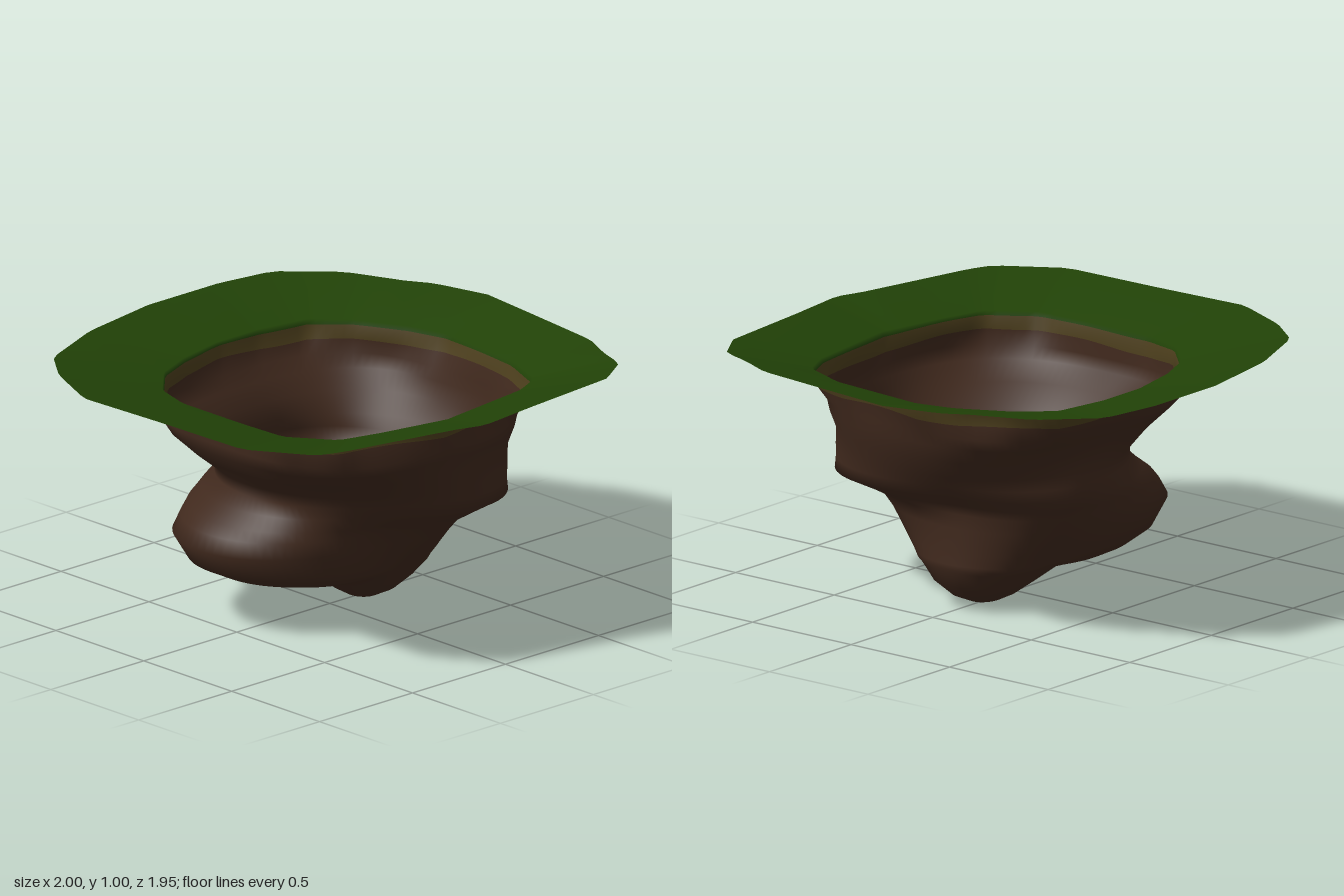
import * as THREE from 'three';

const SEGMENTS = 120;

// Ground outline and pit mouth, as (x, z) corners seen from above
const OUTER = [
  [-0.05, -0.98], [0.33, -0.98], [0.58, -0.94], [0.78, -0.74], [0.88, -0.5], [0.94, -0.4],
  [1, -0.16], [0.97, 0.1], [0.92, 0.51], [0.85, 0.66], [0.81, 0.79], [0.65, 0.89],
  [0.2, 0.935], [-0.08, 0.97], [-0.2, 0.93], [-0.43, 0.88], [-0.71, 0.82], [-0.81, 0.78],
  [-0.97, 0.53], [-0.98, 0.1], [-1, -0.34], [-0.88, -0.61], [-0.75, -0.78], [-0.43, -0.91],
];
const MOUTH = [
  [-0.02, -0.62], [0.2, -0.62], [0.43, -0.58], [0.55, -0.45], [0.66, -0.24], [0.7, -0.08],
  [0.66, 0.35], [0.58, 0.55], [0.45, 0.61], [0, 0.67], [-0.3, 0.61], [-0.48, 0.56],
  [-0.61, 0.38], [-0.62, 0.15], [-0.62, -0.18], [-0.57, -0.35], [-0.42, -0.5], [-0.25, -0.57],
];

// Cave cross-sections: y, minX, maxX, minZ, maxZ, centreX
const CAVE = [
  [0.8, -0.61, 0.65, -0.58, 0.66, 0],
  [0.75, -0.6, 0.64, -0.54, 0.63, 0.01],
  [0.68, -0.54, 0.61, -0.49, 0.58, 0.04],
  [0.6, -0.45, 0.56, -0.47, 0.53, 0.08],
  [0.55, -0.42, 0.52, -0.48, 0.51, 0.11],
  [0.5, -0.3, 0.49, -0.48, 0.5, 0.13],
  [0.45, -0.18, 0.43, -0.45, 0.48, 0.15],
  [0.41, -0.12, 0.415, -0.42, 0.47, 0.15],
  [0.35, -0.1, 0.415, -0.4, 0.44, 0.15],
  [0.25, -0.1, 0.415, -0.33, 0.35, 0.15],
  [0.2, -0.1, 0.42, -0.3, 0.3, 0.15],
  [0.18, -0.1, 0.42, -0.285, 0.285, 0.15],
  [0.165, -0.1, 0.41, -0.27, 0.27, 0.15],
  [0.1, -0.03, 0.39, -0.2, 0.2, 0.16],
  [0.04, 0.06, 0.32, -0.12, 0.13, 0.17],
  [0.01, 0.11, 0.25, -0.06, 0.07, 0.17],
  [0, 0.1699, 0.1701, -0.0001, 0.0001, 0.17],
];
// How far the front shoulder and the side chamber swell out, as (y, reach)
const SHOULDER = [[0.8, 0], [0.68, 0.06], [0.6, 0.13], [0.5, 0.17], [0.45, 0.1], [0.41, 0.03], [0.35, 0]];
const CHAMBER = [[0.6, 0], [0.55, 0.02], [0.5, 0.19], [0.45, 0.38], [0.41, 0.48], [0.35, 0.54],
  [0.25, 0.48], [0.2, 0.38], [0.18, 0.3], [0.165, 0.06], [0.1, 0]];

// Straight-line lookup of a reach at a height
function reachAt(steps, y) {
  const i = steps.findIndex(([h]) => h <= y);
  if (i <= 0) return 0;
  const [h0, r0] = steps[i - 1], [h1, r1] = steps[i];
  return r0 + ((r1 - r0) * (h0 - y)) / (h0 - h1);
}

// Distance from the origin to a polygon's edge along an angle
function polygonRadius(points, angle) {
  const c = Math.cos(angle), s = Math.sin(angle);
  let radius = 0;
  points.forEach(([ax, az], i) => {
    const [bx, bz] = points[(i + 1) % points.length];
    const ex = bx - ax, ez = bz - az;
    const det = c * ez - s * ex;
    if (Math.abs(det) < 1e-9) return;
    const t = (ax * ez - az * ex) / det;
    const u = (ax * s - az * c) / det;
    if (t > 0 && u >= -1e-6 && u <= 1 + 1e-6) radius = Math.max(radius, t);
  });
  return radius;
}

const polygonRing = (points, height, scale = 1) => (angle) => {
  const r = polygonRadius(points, angle) * scale;
  return [r * Math.cos(angle), height(angle), r * Math.sin(angle)];
};

// Rounded swelling around one direction
const lobe = (angle, direction, power) => Math.max(0, Math.cos(angle - direction)) ** power;

// Uneven oval, squarer near the mouth, swollen by the shoulder and the chamber
const caveRing = ([y, x0, x1, z0, z1, cx]) => (angle) => {
  const c = Math.cos(angle), s = Math.sin(angle);
  const a = c < 0 ? cx - x0 : x1 - cx;
  const b = s < 0 ? -z0 : z1;
  const n = 2.1 + Math.max(0, (y - 0.6) * 4.5);
  const r = (Math.abs(c / a) ** n + Math.abs(s / b) ** n) ** (-1 / n)
    + reachAt(SHOULDER, y) * lobe(angle, 1.03, 3)
    + reachAt(CHAMBER, y) * lobe(angle, Math.PI + 0.15, 2);
  return [cx + r * c, y, r * s];
};

export function createModel() {
  const group = new THREE.Group();
  group.name = 'cavePit';

  const wave = (a) => 0.006 * Math.sin(3 * a + 1) + 0.005 * Math.sin(7 * a);
  const rings = [
    polygonRing(OUTER, () => 1),
    polygonRing(MOUTH, () => 0.93),
    polygonRing(MOUTH, (a) => 0.912 + wave(a) * 0.4, 0.99),
    polygonRing(MOUTH, (a) => 0.858 + wave(a), 0.975),
    ...CAVE.map(caveRing),
  ];

  // One continuous skin, so shading runs smoothly from part to part
  const positions = [];
  for (const ring of rings) {
    for (let i = 0; i < SEGMENTS; i++) positions.push(...ring((i / SEGMENTS) * Math.PI * 2));
  }
  const strip = (first, last) => {
    const index = [];
    for (let j = first; j < last; j++) {
      for (let i = 0; i < SEGMENTS; i++) {
        const k = (i + 1) % SEGMENTS;
        const a = j * SEGMENTS + i, b = j * SEGMENTS + k;
        const c = a + SEGMENTS, d = b + SEGMENTS;
        index.push(a, c, b, b, c, d);
      }
    }
    return index;
  };
  const skin = new THREE.BufferGeometry();
  skin.setAttribute('position', new THREE.Float32BufferAttribute(positions, 3));
  skin.setIndex(strip(0, rings.length - 1));
  skin.computeVertexNormals();

  const addPart = (name, colorName, color, first, last) => {
    const geometry = new THREE.BufferGeometry();
    geometry.setAttribute('position', skin.attributes.position);
    geometry.setAttribute('normal', skin.attributes.normal);
    geometry.setIndex(strip(first, last));
    const material = new THREE.MeshStandardMaterial({ color, side: THREE.DoubleSide });
    material.name = colorName;
    const mesh = new THREE.Mesh(geometry, material);
    mesh.name = name;
    group.add(mesh);
  };
  addPart('grassRim', 'grass green', 0x214207, 0, 2);
  addPart('soilBand', 'dry soil', 0x4c3e1c, 2, 3);
  addPart('caveWall', 'earth brown', 0x40291d, 3, rings.length - 1);

  return group;
}
